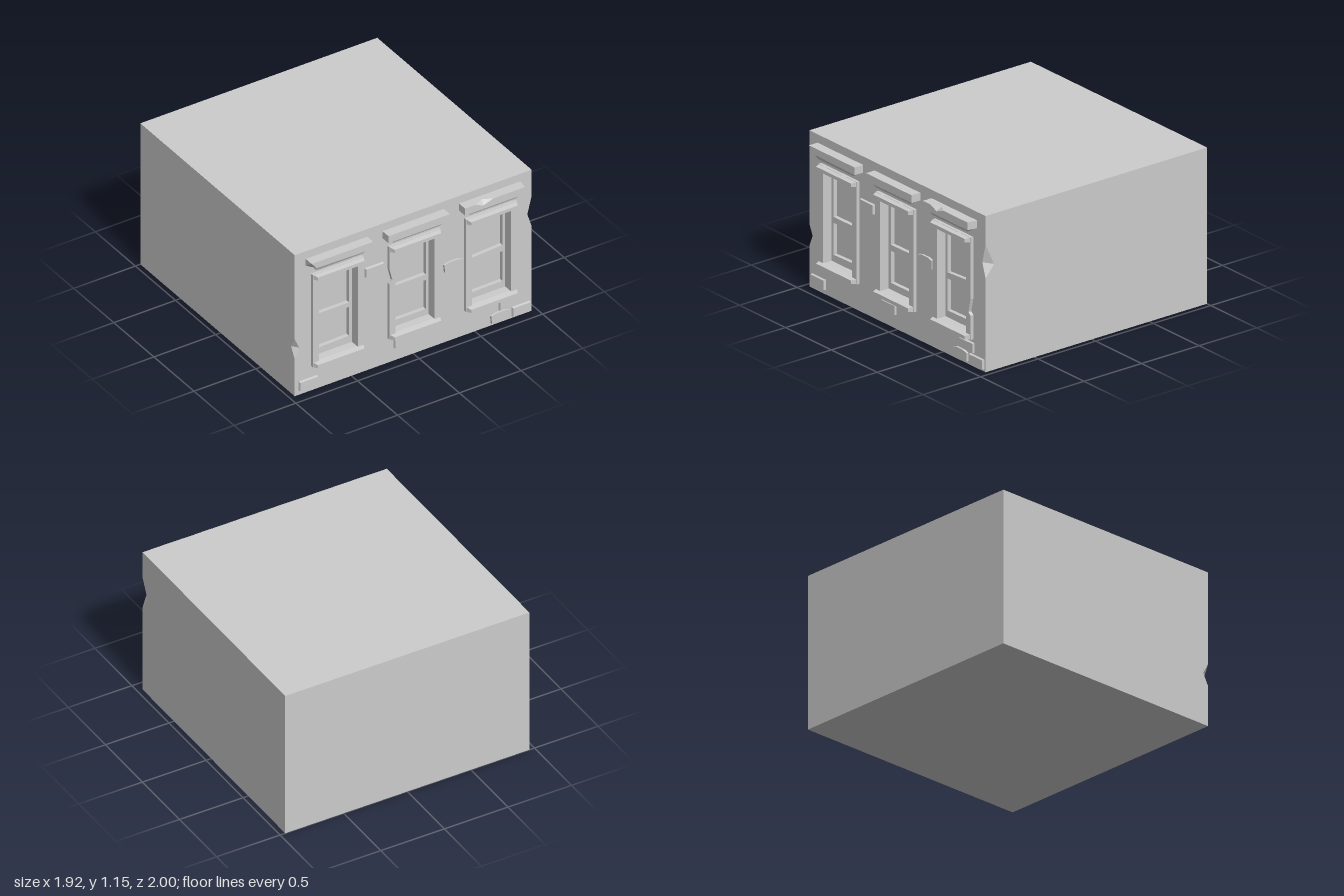
import * as THREE from 'three';
import { mergeGeometries } from 'three/addons/utils/BufferGeometryUtils.js';

const stone = new THREE.MeshStandardMaterial({ color: 0xcccccc });
stone.name = 'grey stone';

const X = 0.96, H = 1.152, WALL = 0.925, BACK = -1;
const v2 = (pts) => pts.map(([x, y]) => new THREE.Vector2(x, y));
const rect = (x0, x1, y0, y1) => [[x0, y0], [x1, y0], [x1, y1], [x0, y1]];

function shapeOf(outline, holes = []) {
  const s = new THREE.Shape(v2(outline));
  holes.forEach((h) => s.holes.push(new THREE.Path(v2(h))));
  return s;
}

// Flat polygon placed in space by a mapping (u, v) -> [x, y, z]
function face(outline, place, holes) {
  const g = new THREE.ShapeGeometry(shapeOf(outline, holes)).toNonIndexed();
  const p = g.attributes.position;
  for (let i = 0; i < p.count; i++) p.setXYZ(i, ...place(p.getX(i), p.getY(i)));
  g.computeVertexNormals();
  return g;
}

// Broken edge: two triangles between edge ends a, b and face points p, q
function chip(a, b, p, q) {
  const g = new THREE.BufferGeometry();
  g.setAttribute('position', new THREE.Float32BufferAttribute([a, p, q, b, q, p].flat(), 3));
  g.setAttribute('uv', new THREE.Float32BufferAttribute(new Array(12).fill(0), 2));
  g.computeVertexNormals();
  return g;
}

// Box between limits, with an optional rule that moves its corners
function block(x0, x1, y0, y1, z0, z1, rule) {
  const g = new THREE.BoxGeometry(x1 - x0, y1 - y0, z1 - z0).toNonIndexed();
  g.translate((x0 + x1) / 2, (y0 + y1) / 2, (z0 + z1) / 2);
  const p = g.attributes.position, v = new THREE.Vector3();
  for (let i = 0; rule && i < p.count; i++) {
    rule(v.fromBufferAttribute(p, i));
    p.setXYZ(i, v.x, v.y, v.z);
  }
  g.computeVertexNormals();
  return g;
}

function slab(outline, holes, z0, z1) {
  return new THREE.ExtrudeGeometry(shapeOf(outline, holes), { depth: z1 - z0, bevelEnabled: false })
    .translate(0, 0, z0);
}

function add(parent, name, geometry) {
  const m = new THREE.Mesh(geometry, stone);
  m.name = name;
  parent.add(m);
  return m;
}

// Building shell with window holes and two broken front corners
function buildBody(centres) {
  const holes = centres.map((c) => rect(c - 0.18, c + 0.18, 0.22, 0.935));
  const front = [[-X, 0], [X, 0], [X, 0.69], [0.925, 0.8], [X, 0.94], [X, H],
    [-X, H], [-X, 0.465], [-0.925, 0.385], [-X, 0.3]];
  const right = [[-WALL, 0], [-BACK, 0], [-BACK, H], [-WALL, H],
    [-WALL, 0.94], [-0.85, 0.78], [-WALL, 0.69]];
  const left = [[BACK, 0], [WALL, 0], [WALL, 0.3], [0.88, 0.385], [WALL, 0.465], [WALL, H], [BACK, H]];
  return mergeGeometries([
    face(front, (u, v) => [u, v, WALL], holes),
    face(right, (u, v) => [X, v, -u]),
    face(left, (u, v) => [-X, v, u]),
    face(rect(-X, X, 0, H), (u, v) => [-u, v, BACK]),
    face(rect(-X, X, -WALL, -BACK), (u, v) => [u, H, -v]),
    face(rect(-X, X, BACK, WALL), (u, v) => [u, 0, v]),
    chip([X, 0.94, WALL], [X, 0.69, WALL], [0.925, 0.8, WALL], [X, 0.78, 0.85]),
    chip([-X, 0.3, WALL], [-X, 0.465, WALL], [-0.925, 0.385, WALL], [-X, 0.385, 0.88]),
  ]);
}

// Window: casing with deep jambs, head and sill mouldings, sash and pane
function buildWindow(i) {
  const g = new THREE.Group();
  g.name = 'window';
  const casing = rect(-0.207, 0.207, 0.2, 0.955);
  if (i === 1) casing.push([-0.207, 0.77], [-0.185, 0.68], [-0.207, 0.65]);
  if (i === 2) casing.splice(2, 0, [0.207, 0.38], [0.185, 0.4], [0.207, 0.5]);
  add(g, 'casing', slab(casing, [rect(-0.158, 0.158, 0.237, 0.918)], 0.84, 0.95));

  const mould = (y0, y1) => block(-0.207, 0.207, y0, y1, 0.94, 0.985, (p) => {
    if (p.z > 0.96) {
      p.x *= 0.91;
      p.y += p.y > (y0 + y1) / 2 ? -0.007 : 0.007;
    }
  });
  add(g, 'headMoulding', mould(0.916, 0.955));
  add(g, 'sillMoulding', mould(0.2, 0.24));

  // worn sash openings lean a little differently in each window
  const lean = [0, 0.003, 0.016][i], sag = [0.008, 0, 0.004][i];
  const upper = [[-0.135, 0.567], [0.135, 0.567 + lean], [0.135, 0.87], [-0.135 - sag / 2, 0.87]];
  const lower = [[-0.135, 0.287], [0.135, 0.287 + sag], [0.135, 0.522 + lean / 2 + sag], [-0.135, 0.522]];
  add(g, 'sash', slab(rect(-0.16, 0.16, 0.235, 0.92), [upper, lower], 0.84, 0.875));
  add(g, 'pane', face(rect(-0.16, 0.16, 0.235, 0.92), (u, v) => [u, v, 0.845]));
  return g;
}

// Cornice shelf over a tapered bed moulding
function buildCornice(i) {
  const g = new THREE.Group();
  g.name = 'cornice';
  add(g, 'bedMoulding', block(-0.225, 0.225, 0.998, 1.035, 0.92, 0.983, (p) => {
    if (p.y < 1.01) {
      p.x *= 0.84;
      if (p.z > 0.95) p.z = 0.965;
    }
  }));
  const w = 0.249, y0 = 1.033, y1 = 1.09, z = 1;
  if (i < 2) {
    add(g, 'shelf', block(-w, w, y0, y1, 0.92, z, (p) => {
      if (i === 0 && p.x < 0 && p.y < 1.05) p.x += p.z > 0.95 ? 0.04 : 0;
      if (i === 0 && p.x < 0 && p.y < 1.05 && p.z > 0.95) p.y += 0.008;
    }));
    return g;
  }
  // shelf with a broken front edge and a slanted end
  const e = w - 0.012;
  add(g, 'shelf', mergeGeometries([
    face([[-w, y0], [e, y0], [e, y1], [-0.02, y1], [-0.1, 1.062], [-0.165, y1], [-w, y1]], (u, v) => [u, v, z]),
    face([[-w, -z], [-0.165, -z], [-0.09, -0.965], [-0.02, -z], [e, -z], [w, -0.92], [-w, -0.92]],
      (u, v) => [u, y1, -v]),
    face([[-w, 0.92], [w, 0.92], [e, z], [-w, z]], (u, v) => [u, y0, v]),
    face(rect(0.92, z, y0, y1), (u, v) => [-w, v, u]),
    face(rect(0, 1, y0, y1), (u, v) => [e + (w - e) * u, v, z - (z - 0.92) * u]),
    chip([-0.165, y1, z], [-0.02, y1, z], [-0.1, 1.062, z], [-0.09, y1, 0.965]),
  ]));
  return g;
}

// Raised brick: left, bottom, and how much its corners are worn
const BRICKS = [
  [-0.93, 0.034, 0], [-0.395, 0.765, 0], [-0.16, 0.102, 0], [0.242, 0.57, 0.012],
  [0.69, 0.102, 0], [0.622, 0.015, 0.012], [0.795, 0.015, 0],
];

function buildBrick([x, y, worn]) {
  const w = 0.152, h = worn ? 0.08 : 0.076;
  if (!worn) {
    return block(x, x + w, y, y + h, 0.92, 0.942, (p) => {
      if (p.z > 0.93) {
        p.x += p.x > x + w / 2 ? -0.005 : 0.005;
        p.y += p.y > y + h / 2 ? -0.005 : 0.005;
      }
    });
  }
  const c = worn;
  return slab([[x + c / 2, y + c / 2], [x + 0.04, y], [x + w - 0.04, y], [x + w, y + c / 2],
    [x + w, y + h - c], [x + w - 0.04, y + h], [x + 0.04, y + h], [x, y + h - c]], [], 0.92, 0.942);
}

export function createModel() {
  const model = new THREE.Group();
  model.name = 'building';
  const centres = [-0.622, 0, 0.62];
  add(model, 'wallBlock', buildBody(centres));
  centres.forEach((c, i) => {
    for (const part of [buildWindow(i), buildCornice(i)]) {
      part.position.x = c;
      model.add(part);
    }
  });
  BRICKS.forEach((b) => add(model, 'raisedBrick', buildBrick(b)));
  return model;
}
